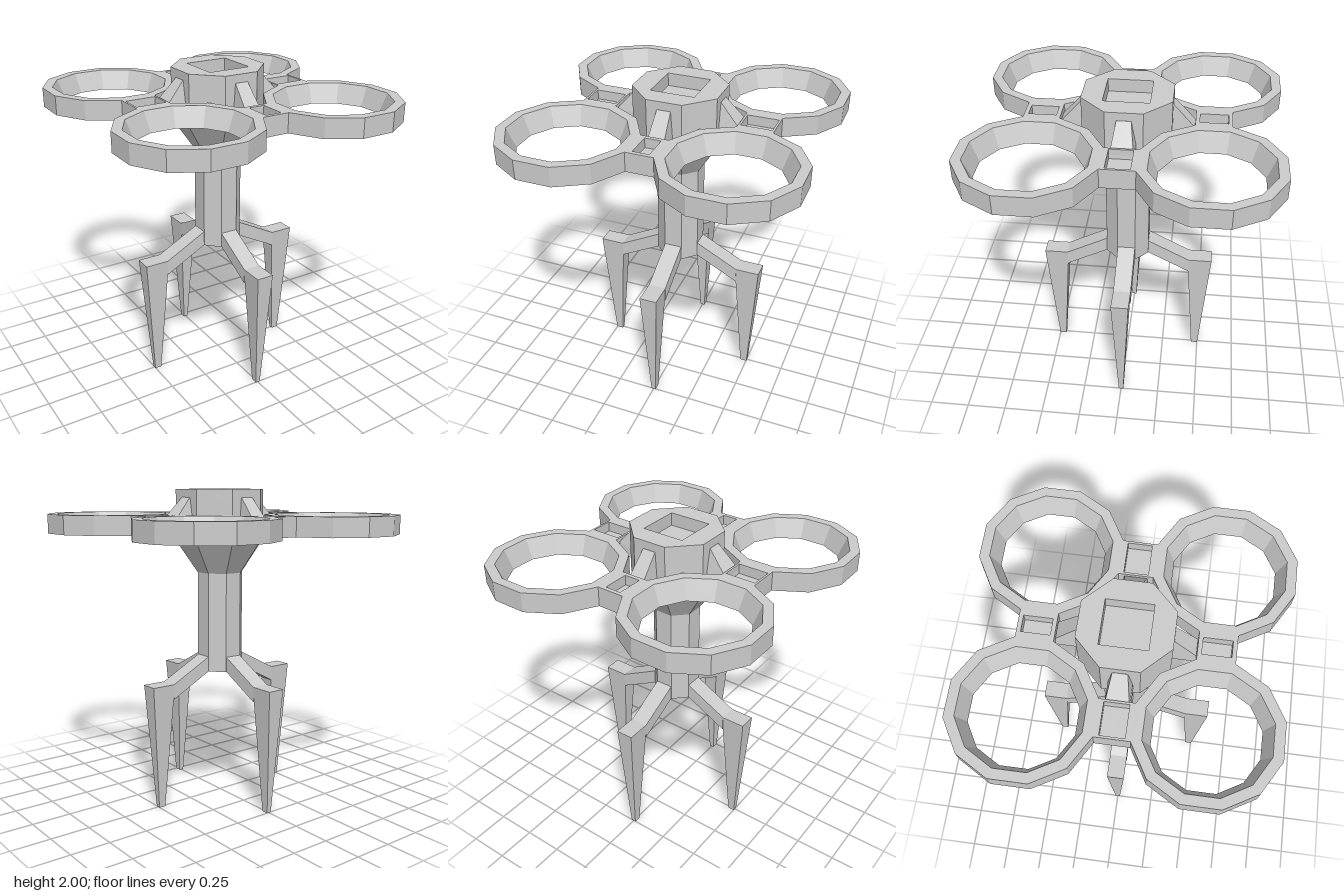
import * as THREE from 'three';

const material = new THREE.MeshStandardMaterial({ color: 0xcccccc, flatShading: true });

function add(parent, name, geometry, x = 0, y = 0, z = 0) {
  const mesh = new THREE.Mesh(geometry, material);
  mesh.name = name;
  mesh.position.set(x, y, z);
  parent.add(mesh);
  return mesh;
}

// Closed solid through four-cornered sections, each wound towards the far end
function loft(sections) {
  const pos = [];
  const quad = (a, b, c, d) => pos.push(...a, ...b, ...c, ...a, ...c, ...d);
  for (let s = 0; s < sections.length - 1; s++) {
    const a = sections[s], b = sections[s + 1];
    for (let i = 0; i < 4; i++) quad(a[i], a[(i + 1) % 4], b[(i + 1) % 4], b[i]);
  }
  const [p, q, r, t] = sections[0];
  quad(t, r, q, p);
  quad(...sections[sections.length - 1]);
  const geometry = new THREE.BufferGeometry();
  geometry.setAttribute('position', new THREE.Float32BufferAttribute(pos, 3));
  geometry.computeVertexNormals();
  return geometry;
}
const levelSection = (y, x0, x1, w) => [[x0, y, w], [x1, y, w], [x1, y, -w], [x0, y, -w]];
const uprightSection = (x, y0, y1, w) => [[x, y0, w], [x, y0, -w], [x, y1, -w], [x, y1, w]];

// Octagonal prism or frustum given by its flat-to-centre distances
function octagon(topFlat, bottomFlat, y0, y1) {
  const k = 1 / Math.cos(Math.PI / 8);
  const g = new THREE.CylinderGeometry(topFlat * k, bottomFlat * k, y1 - y0, 8);
  return g.rotateY(Math.PI / 8).translate(0, (y0 + y1) / 2, 0);
}

// Upright extrusion of an outline with a rectangular opening
function pierced(points, hx, hz, y0, y1) {
  const shape = new THREE.Shape(points);
  const v = (x, y) => new THREE.Vector2(x, y);
  shape.holes.push(new THREE.Path([v(-hx, -hz), v(-hx, hz), v(hx, hz), v(hx, -hz)]));
  const g = new THREE.ExtrudeGeometry(shape, { depth: y1 - y0, bevelEnabled: false });
  return g.rotateX(-Math.PI / 2).translate(0, y0, 0);
}

export function createModel() {
  const model = new THREE.Group();
  model.name = 'drone';

  // Central body: column, flared neck and head with a square well
  const column = 0.136, head = 0.263, wellFloor = 1.92;
  add(model, 'column', octagon(column, column, 0.85, 1.48));
  add(model, 'neck', octagon(head, column, 1.48, 1.68));
  add(model, 'head', octagon(head, head, 1.68, wellFloor));
  const rim = [];
  for (let i = 0; i < 8; i++) {
    const a = (i + 0.5) * Math.PI / 4, r = head / Math.cos(Math.PI / 8);
    rim.push(new THREE.Vector2(r * Math.cos(a), r * Math.sin(a)));
  }
  add(model, 'headRim', pierced(rim, 0.135, 0.135, wellFloor, 2));

  // Four twelve-sided rotor guards with sloping inner walls
  const low = 1.725, high = 1.845, flat = 0.403, cx = 0.488, cz = 0.503;
  const k = 1 / Math.cos(Math.PI / 12);
  const profile = [[flat, low], [flat, high], [0.345, high], [0.297, low], [flat, low]]
    .map(([r, y]) => new THREE.Vector2(r * k, y));
  const guard = new THREE.LatheGeometry(profile, 12, Math.PI / 12);
  for (const sx of [-1, 1]) for (const sz of [-1, 1])
    add(model, 'rotorGuard', guard, sx * cx, 0, sz * cz);

  // Bridges joining neighbouring guards, each with a shallow pocket
  function bridge(x, z, hx, hz, px, pz) {
    const floor = 1.785;
    const outline = [[-hx, -hz], [hx, -hz], [hx, hz], [-hx, hz]].map(p => new THREE.Vector2(...p));
    add(model, 'bridgeRim', pierced(outline, px, pz, floor, high), x, 0, z);
    add(model, 'bridgeBase', new THREE.BoxGeometry(2 * hx, floor - low, 2 * hz), x, (low + floor) / 2, z);
  }
  const edge = flat * Math.tan(Math.PI / 12);
  for (const s of [-1, 1]) {
    bridge(s * cx, 0, edge, cz - flat, 0.095, 0.07);
    bridge(0, s * cz, cx - flat, edge, 0.05, 0.083);
  }

  // Struts and legs, repeated on four sides
  const arm = loft([
    uprightSection(0.1, 0.87, 0.965, 0.055),
    uprightSection(0.405, 0.71, 0.805, 0.055),
  ]);
  const foot = loft([
    levelSection(0, 0.458, 0.502, 0.015),
    levelSection(0.71, 0.405, 0.549, 0.05),
    levelSection(0.805, 0.405, 0.555, 0.055),
  ]);
  for (let i = 0; i < 4; i++) {
    const side = new THREE.Group();
    side.name = 'side';
    side.rotation.y = i * Math.PI / 2;
    model.add(side);
    const base = i % 2 ? 0.055 : 0.072;
    add(side, 'strut', loft([
      levelSection(1.74, 0.24, 0.4, base),
      levelSection(1.81, 0.24, 0.393, base - 0.004),
      levelSection(1.95, 0.24, 0.264, 0.042),
    ]));
    add(side, 'legArm', arm);
    add(side, 'foot', foot);
  }
  return model;
}
